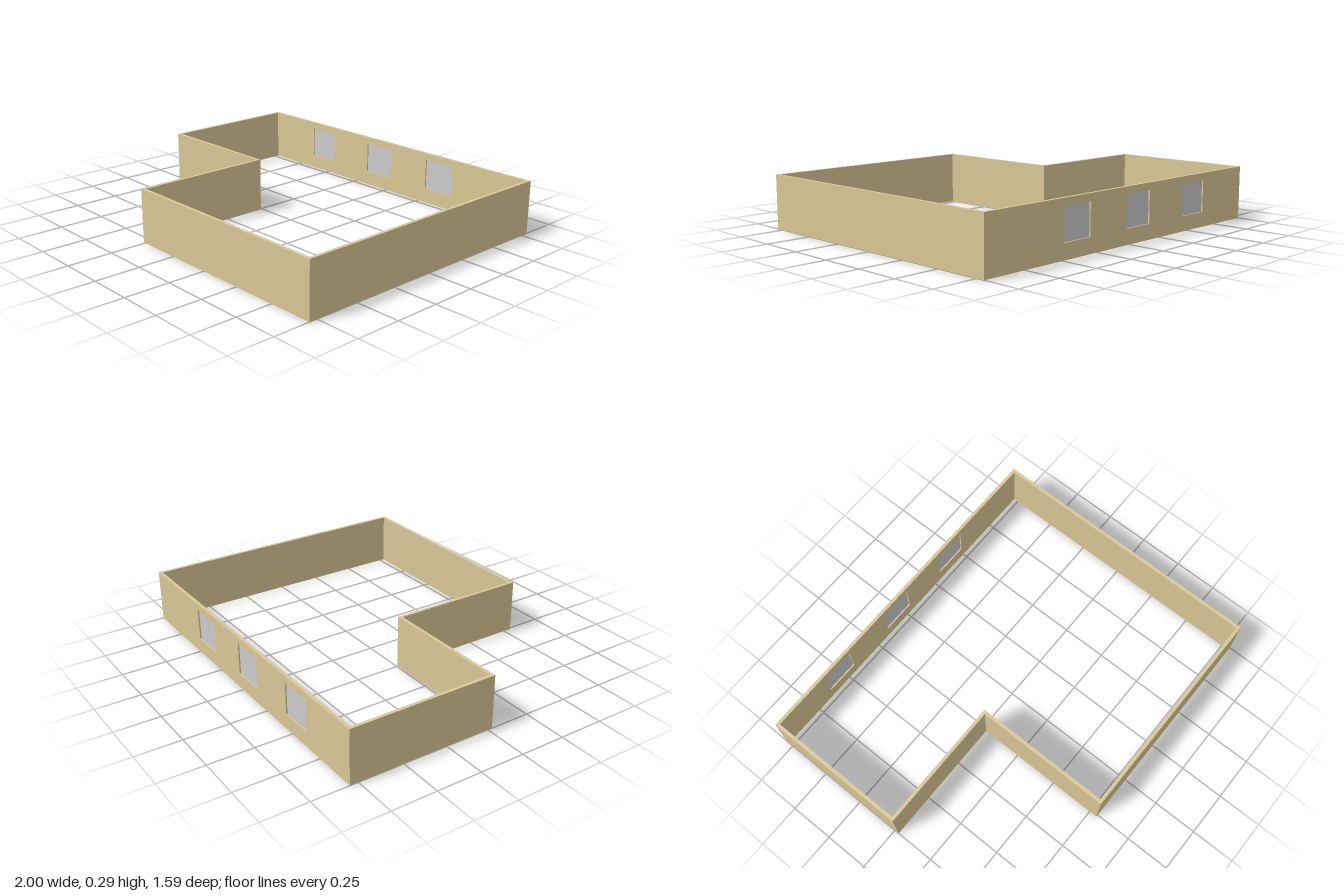
import * as THREE from 'three';

const H = 0.295, T = 0.018, Z = 0.795; // wall height, wall thickness, half depth
const STEP_X = -0.262, STEP_Z = 0.026; // inner corner of the L-shaped plan
const WINDOW = { w: 0.19, y0: 0.083, y1: 0.257, centres: [-0.541, -0.066, 0.396] };

const toShape = (pts) => new THREE.Shape(pts.map(([x, y]) => new THREE.Vector2(x, y)));

export function createModel() {
  const group = new THREE.Group();
  const wallMat = new THREE.MeshStandardMaterial({ color: 0xd9c796 });
  const glassMat = new THREE.MeshStandardMaterial({ color: 0xcccccc });

  const add = (name, geometry, material) => {
    const mesh = new THREE.Mesh(geometry, material);
    mesh.name = name;
    group.add(mesh);
    return mesh;
  };

  // Front, side and step walls: one open L-shaped band, drawn in plan as (x, -z)
  const plan = toShape([
    [-1, Z - T], [-1, -STEP_Z], [STEP_X, -STEP_Z], [STEP_X, -Z], [1, -Z], [1, Z - T],
    [1 - T, Z - T], [1 - T, -Z + T], [STEP_X + T, -Z + T], [STEP_X + T, -STEP_Z + T],
    [-1 + T, -STEP_Z + T], [-1 + T, Z - T],
  ]);
  const band = new THREE.ExtrudeGeometry(plan, { depth: H, bevelEnabled: false });
  band.rotateX(-Math.PI / 2);
  add('outerWalls', band, wallMat);

  // Back wall with three window openings
  const back = toShape([[-1, 0], [1, 0], [1, H], [-1, H]]);
  for (const x of WINDOW.centres) {
    const l = x - WINDOW.w / 2, r = x + WINDOW.w / 2;
    back.holes.push(toShape([[l, WINDOW.y0], [l, WINDOW.y1], [r, WINDOW.y1], [r, WINDOW.y0]]));
  }
  const backGeo = new THREE.ExtrudeGeometry(back, { depth: T, bevelEnabled: false });
  backGeo.translate(0, 0, -Z);
  add('backWall', backGeo, wallMat);

  // Thin panes set in the middle of the openings
  const paneGeo = new THREE.BoxGeometry(WINDOW.w, WINDOW.y1 - WINDOW.y0, 0.003);
  WINDOW.centres.forEach((x, i) => {
    add(`windowPane${i + 1}`, paneGeo, glassMat)
      .position.set(x, (WINDOW.y0 + WINDOW.y1) / 2, -Z + T / 2);
  });

  return group;
}
